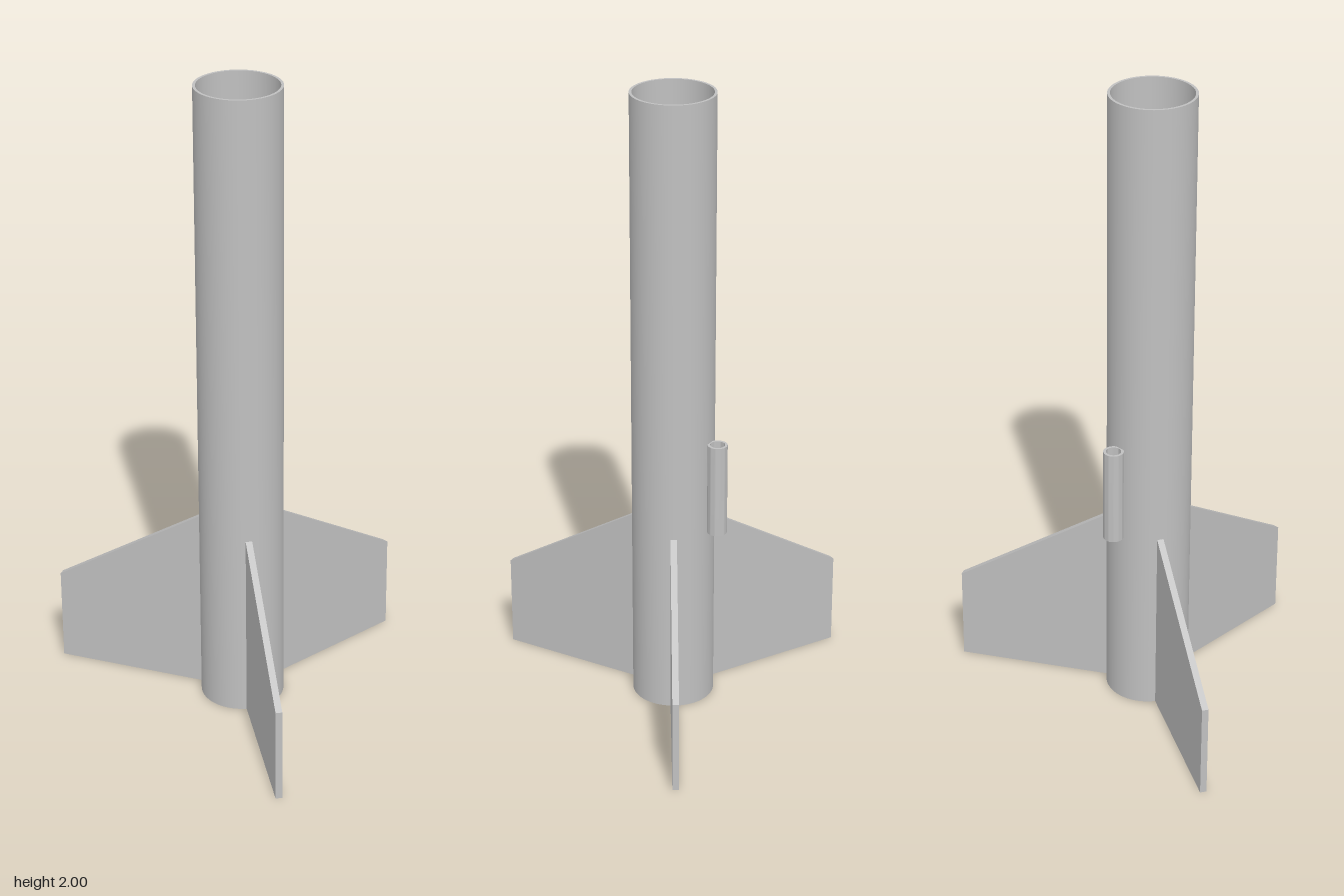
import * as THREE from 'three';
import { toCreasedNormals } from 'three/addons/utils/BufferGeometryUtils.js';

const AXIS_X = -0.148;   // body axis offset, which centres the three fins
const BODY_R = 0.129;

// Hollow cylinder with flat annular ends
function pipe(outer, inner, y0, y1, segments) {
  const profile = [[inner, y0], [outer, y0], [outer, y1], [inner, y1], [inner, y0]]
    .map(([r, y]) => new THREE.Vector2(r, y));
  return toCreasedNormals(new THREE.LatheGeometry(profile, segments), Math.PI / 5);
}

export function createModel() {
  const model = new THREE.Group();
  model.name = 'rocket';
  const grey = new THREE.MeshStandardMaterial({ color: 0xc0c0c0 });
  grey.name = 'light grey';

  const rocket = new THREE.Group();
  rocket.name = 'airframe';
  rocket.position.x = AXIS_X;
  model.add(rocket);

  const add = (name, geometry) => {
    const mesh = new THREE.Mesh(geometry, grey);
    mesh.name = name;
    rocket.add(mesh);
    return mesh;
  };

  // Thin-walled body, open at the top
  add('bodyTube', pipe(BODY_R, 0.121, 0, 2, 72));

  // Thick motor mount inside the tail
  add('motorMount', pipe(0.1215, 0.066, 0, 0.6, 72));

  // Launch lug on the back of the body
  const lug = add('launchLug', pipe(0.031, 0.023, 0.6, 0.9, 36));
  lug.position.set(0.077, 0, -0.135);

  // Three swept fins, equally spaced
  const outline = new THREE.Shape([
    [BODY_R - 0.003, 0], [0.608, 0], [0.608, 0.3], [BODY_R - 0.003, 0.6],
  ].map(([x, y]) => new THREE.Vector2(x, y)));
  const finGeometry = new THREE.ExtrudeGeometry(outline, { depth: 0.02, bevelEnabled: false });
  finGeometry.translate(0, 0, -0.01);
  for (let i = 0; i < 3; i++) {
    add('fin' + (i + 1), finGeometry).rotation.y = (i * Math.PI * 2) / 3;
  }

  return model;
}
